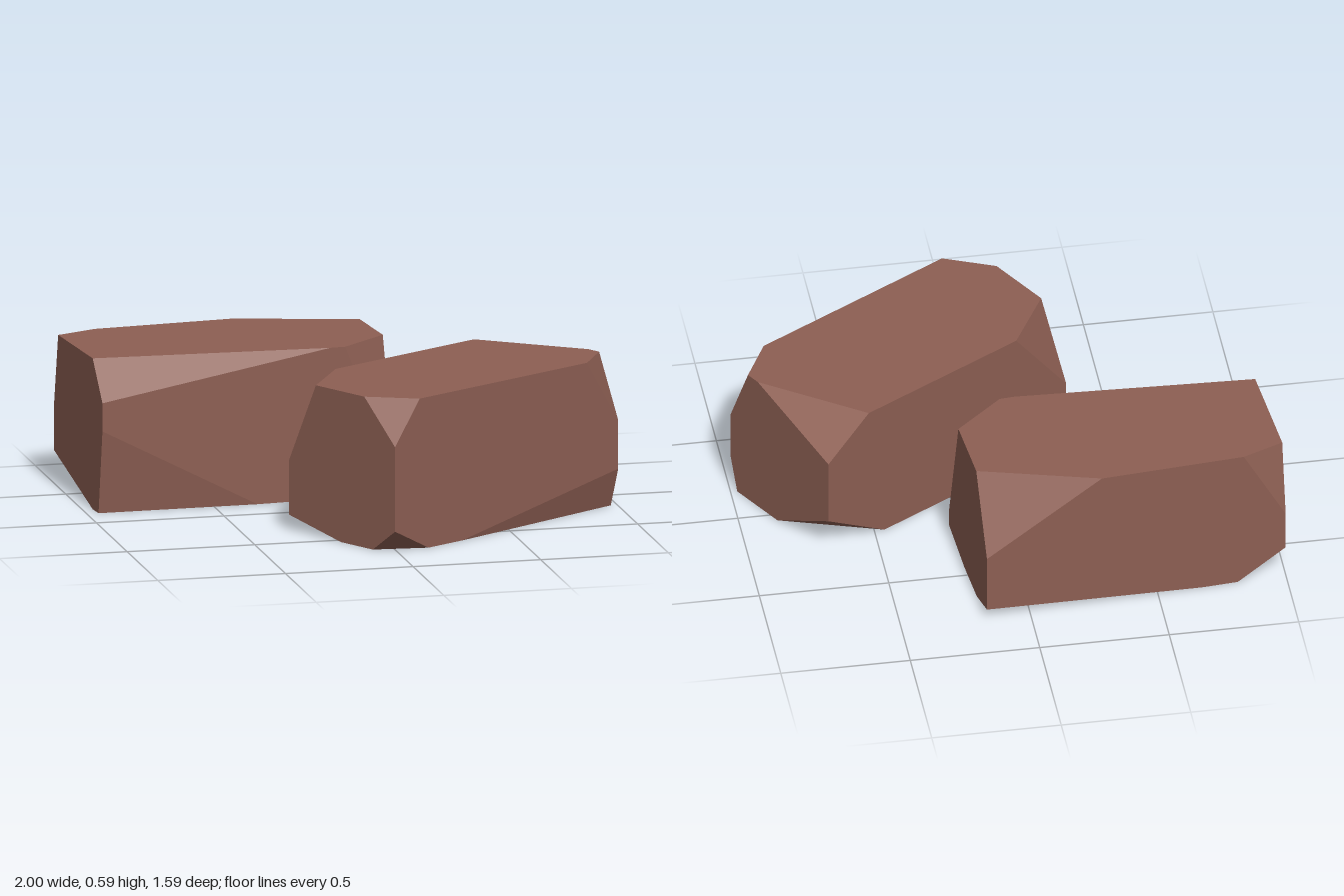
import * as THREE from 'three';
import { ConvexGeometry } from 'three/addons/geometries/ConvexGeometry.js';

const HEIGHT = 0.59;

// A block whose eight corners are each sliced off by one plane.
// corners: footprint [x, z]. Each cut: [share of edge to next corner,
// share of edge to previous corner, y where it meets the upright edge].
function chippedBlock(name, corners, topCuts, bottomCuts, material) {
  const points = [];
  const along = (from, to, t, y) => points.push(new THREE.Vector3(
    from[0] + (to[0] - from[0]) * t, y, from[1] + (to[1] - from[1]) * t));

  corners.forEach((corner, i) => {
    const next = corners[(i + 1) % 4];
    const prev = corners[(i + 3) % 4];
    for (const [cuts, y] of [[topCuts, HEIGHT], [bottomCuts, 0]]) {
      const [toNext, toPrev, edgeY] = cuts[i];
      along(corner, next, toNext, y);
      along(corner, prev, toPrev, y);
      along(corner, corner, 0, edgeY);
    }
  });

  const mesh = new THREE.Mesh(new ConvexGeometry(points), material);
  mesh.name = name;
  return mesh;
}

export function createModel() {
  const group = new THREE.Group();
  group.name = 'rocks';
  const stone = new THREE.MeshStandardMaterial({ color: 0x8d5f53 });
  stone.name = 'brown stone';

  // Front rock, turned about thirty degrees
  group.add(chippedBlock('frontRock',
    [[-0.315, 0.285], [0.70, -0.30], [0.995, 0.205], [-0.02, 0.79]],
    [[0.21, 0.255, 0.27], [0.72, 0.17, 0.44], [0.14, 0.18, 0.34], [0.29, 0.11, 0.42]],
    [[0.13, 0.49, 0.06], [0.52, 0.235, 0.17], [0.70, 0.07, 0.15], [0.21, 0.15, 0.09]],
    stone));

  // Back rock, nearly square to the front
  group.add(chippedBlock('backRock',
    [[-1.0, -0.695], [0.17, -0.795], [0.22, -0.21], [-0.95, -0.11]],
    [[0.14, 0.09, 0.29], [0.28, 0.385, 0.29], [0.17, 0.25, 0.09], [0.20, 0.78, 0.44]],
    [[0.16, 0.80, 0.13], [0.27, 0.72, 0.05], [0.10, 0.41, 0.03], [0.08, 0.53, 0.33]],
    stone));

  return group;
}
